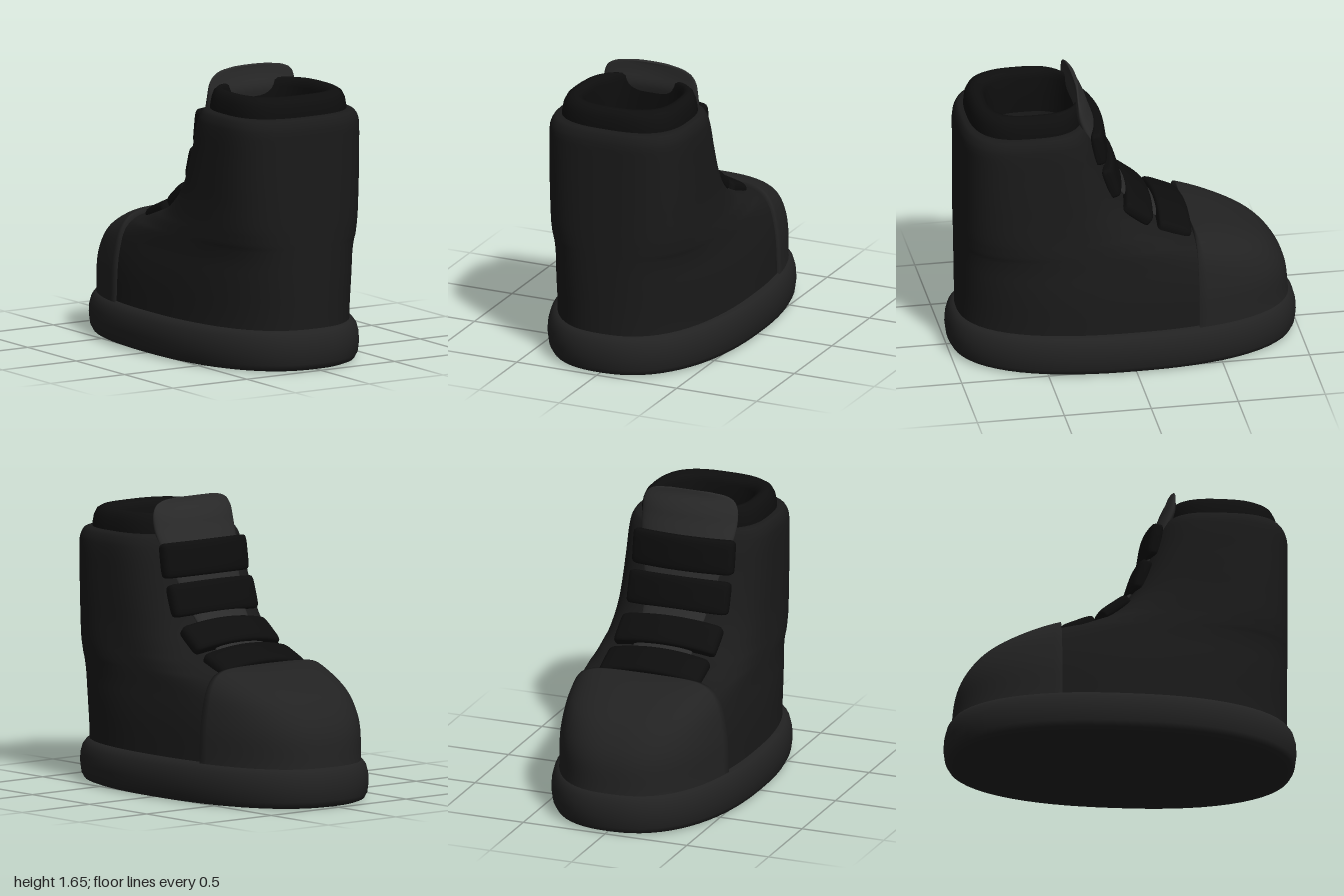
import * as THREE from 'three';

const V = (x, y, z) => new THREE.Vector3(x, y, z);
const { lerp, clamp, smoothstep } = THREE.MathUtils;
const SEG = 72;
const HEEL = 0.945;

// Skin a list of point rows; closed rows wrap around.
function loft(rows, closed = true) {
  const n = rows[0].length, index = [];
  for (let i = 0; i < rows.length - 1; i++) {
    for (let j = 0; j < (closed ? n : n - 1); j++) {
      const k = (j + 1) % n;
      const a = i * n + j, b = i * n + k, c = a + n, d = b + n;
      index.push(a, b, d, a, d, c);
    }
  }
  const g = new THREE.BufferGeometry().setFromPoints(rows.flat());
  g.setIndex(index);
  g.computeVertexNormals();
  return g;
}

// Point on a unit superellipse at angle t.
function superPoint(t, n) {
  const c = Math.cos(t), s = Math.sin(t);
  const r = Math.pow(Math.abs(c) ** n + Math.abs(s) ** n, -1 / n);
  return [c * r, s * r];
}

// Horizontal superellipse ring between z = front and z = back.
function ring(w, y, front, back, n, t0 = 0, t1 = Math.PI * 2, count = SEG) {
  const zc = (front + back) / 2, h = (back - front) / 2;
  return Array.from({ length: count }, (_, j) => {
    const [x, s] = superPoint(t0 + (t1 - t0) * j / count, n);
    return V(x * w, y, zc - s * h);
  });
}

const squareness = y => lerp(2.4, 3, smoothstep(y, 0.2, 0.85));
const curve = pts => new THREE.CatmullRomCurve3(pts.map(p => V(...p)), false, 'centripetal');

// Sole: stacked rings with a bulging edge
function soleGeometry() {
  const prof = [[0.57, 0], [0.05, 0], [0.05, 0], [0.024, 0.01], [0.008, 0.04], [0, 0.1], [0.003, 0.15],
    [0.015, 0.195], [0.035, 0.222], [0.06, 0.235], [0.12, 0.237], [0.57, 0.237]];
  return loft(prof.map(([inset, y]) => {
    const w = Math.max(0.572 - inset, 0.0001), l = inset > 0.5 ? 0.0001 : 1 - inset;
    return ring(w, y, -l, l, 2.35);
  }));
}

// Boot body: each point is [half width, height, front edge]
function bodyGeometry() {
  const path = curve([[0.51, 0.2, -0.94], [0.5, 0.4, -0.91], [0.49, 0.5, -0.865], [0.475, 0.6, -0.77],
    [0.465, 0.68, -0.58], [0.46, 0.72, -0.4], [0.455, 0.76, -0.28], [0.45, 0.8, -0.17],
    [0.445, 0.86, -0.08], [0.44, 0.94, 0], [0.437, 1.05, 0.065], [0.433, 1.2, 0.125],
    [0.428, 1.35, 0.175], [0.42, 1.4, 0.195], [0.4, 1.435, 0.215], [0.37, 1.445, 0.24]]);
  const rows = path.getPoints(90).map(p =>
    ring(p.x, p.y, p.z, HEEL - Math.max(0, 0.428 - p.x), squareness(p.y)));
  // opening, inner wall and insole
  for (const y of [1.445, 1.445, 0.3, 0.3]) rows.push(ring(0.257, y, 0.265, 0.765, 2.8));
  rows.push(ring(0.0001, 0.3, 0.5149, 0.5151, 2.8));
  return loft(rows);
}

// Toe cap: front part of slightly larger rings, cut straight across
function toeCapGeometry() {
  const cut = -0.37, count = 48;
  const path = curve([[0.522, 0.22, -0.957], [0.514, 0.4, -0.935], [0.503, 0.5, -0.89], [0.49, 0.6, -0.8],
    [0.475, 0.7, -0.61], [0.466, 0.742, -0.47], [0.46, 0.755, cut]]);
  const rows = path.getPoints(56).map(p => {
    const n = squareness(p.y), zc = (p.z + HEEL) / 2, h = (HEEL - p.z) / 2;
    const s = clamp((zc - cut) / h, 0, 1);
    const t = Math.atan2(s, Math.pow(1 - s ** n, 1 / n));
    const row = ring(p.x, p.y, p.z, HEEL, n, t, t + (Math.PI - 2 * t) * count / (count - 1), count);
    const rim = q => V(q.x * 0.95, q.y - 0.025, q.z);
    return [rim(row[0]), ...row, rim(row[count - 1])];
  });
  return loft(rows, false);
}

// Padded collar around the opening: [half width, y, front, back]
function collarGeometry() {
  const prof = [[0.368, 1.38, 0.235, 0.885], [0.367, 1.46, 0.235, 0.885], [0.357, 1.51, 0.24, 0.88],
    [0.342, 1.543, 0.247, 0.865], [0.318, 1.559, 0.257, 0.842], [0.295, 1.559, 0.262, 0.815],
    [0.272, 1.545, 0.267, 0.785], [0.258, 1.51, 0.27, 0.767], [0.255, 1.4, 0.27, 0.763], [0.257, 1.3, 0.265, 0.765]];
  return loft(prof.map(([w, y, f, b]) => ring(w, y, f, b, 2.8)));
}

// Tongue: flat bowed section swept up the throat, rounded at the top
function tongueGeometry() {
  const path = curve([[0.18, 0.72, -0.39], [0.18, 0.8, -0.2], [0.18, 0.9, -0.06], [0.2, 1.05, 0.06],
    [0.23, 1.2, 0.125], [0.28, 1.4, 0.205], [0.29, 1.5, 0.24], [0.284, 1.57, 0.253],
    [0.262, 1.61, 0.261], [0.21, 1.635, 0.265], [0.13, 1.645, 0.267]]);
  const rows = path.getPoints(60).map((p, i) => {
    const u = path.getTangent(i / 60).setX(0).normalize();
    const half = lerp(0.022, 0.04, smoothstep(p.y, 1.1, 1.45)) * (1 - 0.75 * smoothstep(p.y, 1.5, 1.645));
    return Array.from({ length: 40 }, (_, j) => {
      const [c, s] = superPoint(j / 40 * Math.PI * 2, 2.5);
      const x = c * p.x, d = s * half - 0.4 * x * x;
      return V(x, p.y + u.z * d, p.z - u.y * d);
    });
  });
  rows.push(rows[60].map(() => V(0, 1.645, 0.267)));
  return loft(rows);
}

// Strap: rounded slab bowed across the throat
function strapGeometry(z, y, tilt, length) {
  const uy = Math.cos(tilt), uz = Math.sin(tilt), W = 0.308;
  const stations = [[-W, 1], [-W, 0.022], [-W + 0.005, 0.01], [-W + 0.015, 0.003], [-W + 0.03, 0]];
  for (let i = 1; i < 16; i++) stations.push([lerp(-W + 0.03, W - 0.03, i / 16), 0]);
  for (let i = 4; i >= 0; i--) stations.push([-stations[i][0], stations[i][1]]);
  return loft(stations.map(([x, inset]) => Array.from({ length: 40 }, (_, j) => {
    const [c, s] = superPoint(j / 40 * Math.PI * 2, 5);
    const d = c * Math.max(0.036 - inset, 0) - 0.5 * x * x;
    const e = s * Math.max(length / 2 - inset, 0);
    return V(x, y + uy * e + uz * d, z + uz * e - uy * d);
  })));
}

export function createModel() {
  const boot = new THREE.Group();
  boot.name = 'boot';
  const add = (name, geometry, color, parent = boot) => {
    const mesh = new THREE.Mesh(geometry, new THREE.MeshStandardMaterial({ color, side: THREE.DoubleSide }));
    mesh.name = name;
    parent.add(mesh);
  };
  add('sole', soleGeometry(), 0x222222);
  add('upper', bodyGeometry(), 0x1a1a1a);
  add('toeCap', toeCapGeometry(), 0x222222);
  add('collar', collarGeometry(), 0x0e0e0e);
  add('tongue', tongueGeometry(), 0x2a2a2a);

  // Straps from top to bottom: z, y, tilt, length
  const straps = new THREE.Group();
  straps.name = 'straps';
  boot.add(straps);
  [[0.134, 1.31, 0.15, 0.2], [0.063, 1.095, 0.3, 0.19], [-0.075, 0.908, 0.92, 0.19], [-0.277, 0.79, 1.17, 0.2]]
    .forEach((s, i) => add('strap' + (i + 1), strapGeometry(...s), 0x0d0d0d, straps));
  return boot;
}
